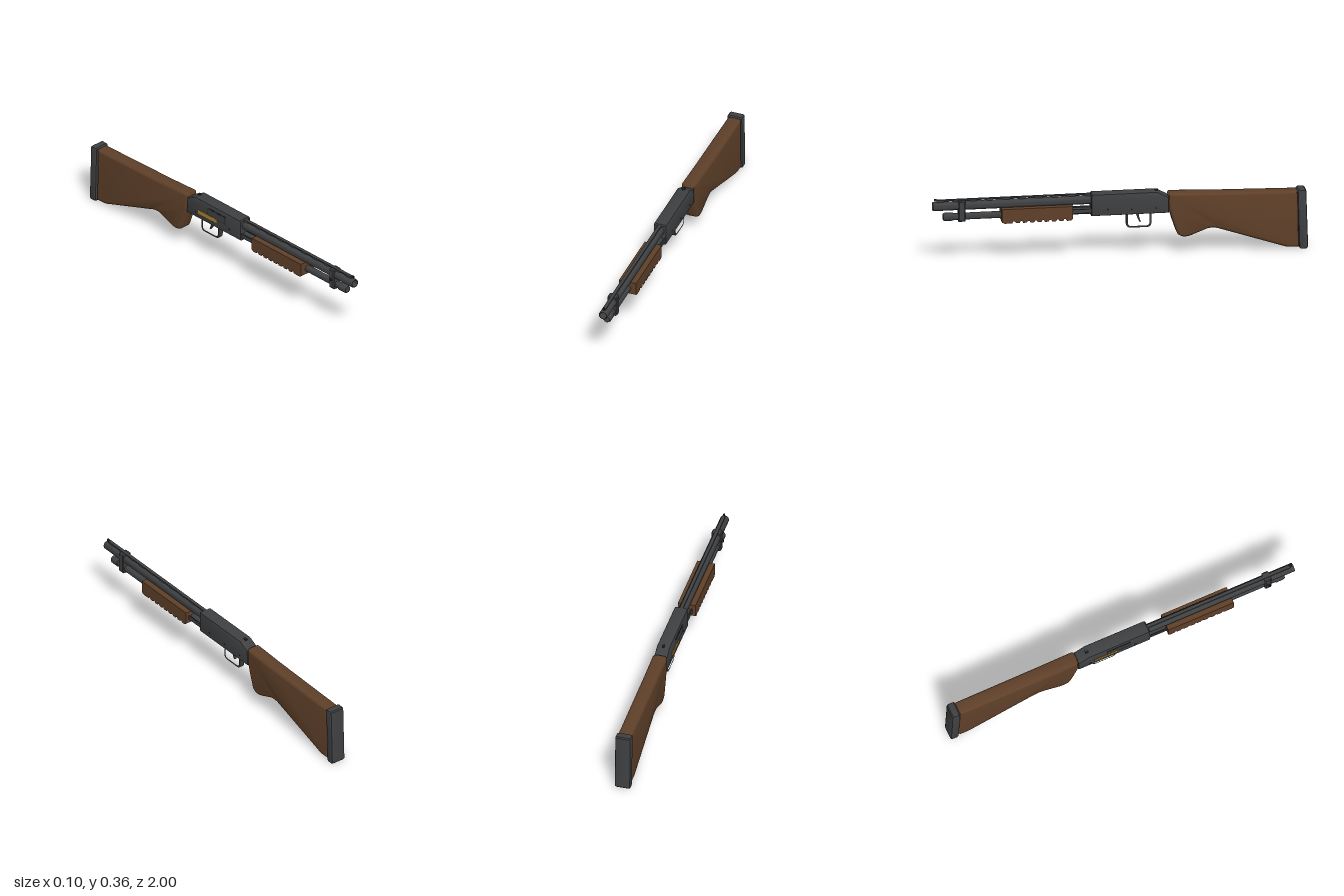
import * as THREE from 'three';
import { toCreasedNormals } from 'three/addons/utils/BufferGeometryUtils.js';

const mat = (name, color) => {
  const m = new THREE.MeshStandardMaterial({ color });
  m.name = name;
  return m;
};

export function createModel() {
  const group = new THREE.Group();
  const metal = mat('gunmetal', 0x3f4042);
  const dark = mat('dark steel', 0x27282a);
  const wood = mat('walnut', 0x5f4029);
  const brass = mat('brass', 0xb0802a);

  const add = (name, geo, material, x = 0, y = 0, z = 0) => {
    const mesh = new THREE.Mesh(geo, material);
    mesh.name = name;
    mesh.position.set(x, y, z);
    group.add(mesh);
    return mesh;
  };

  // Side profile in (z, y), extruded across x and kept inside its outline
  const slab = (shape, width, bevel = 0, segments = 1) => {
    const g = new THREE.ExtrudeGeometry(shape, {
      depth: width - 2 * bevel, bevelEnabled: bevel > 0, bevelThickness: bevel,
      bevelSize: bevel, bevelOffset: -bevel, bevelSegments: segments, curveSegments: 8,
    });
    g.translate(0, 0, -(width / 2 - bevel));
    g.rotateY(-Math.PI / 2);
    return toCreasedNormals(g, 0.6);
  };
  const poly = (pts) => new THREE.Shape(pts.map(([z, y]) => new THREE.Vector2(z, y)));

  // Profile of [radius, z] turned around a line along z
  const turned = (pts) => {
    const g = new THREE.LatheGeometry(pts.map(([r, z]) => new THREE.Vector2(r, z)), 24);
    g.rotateX(Math.PI / 2);
    return toCreasedNormals(g, 0.6);
  };
  const box = (name, m, w, h, d, x, y, z) => add(name, new THREE.BoxGeometry(w, h, d), m, x, y, z);

  // Barrel with open bore
  add('barrel', turned([[0, 0.14], [0.024, 0.14], [0.024, 0.997], [0.022, 1], [0.0195, 1],
    [0.0195, 0.94], [0, 0.94]]), metal, 0, 0.316, 0);

  // Ventilated rib and front sight
  box('rib', metal, 0.018, 0.006, 0.83, 0, 0.348, 0.565);
  for (let i = 0; i < 10; i++) box('ribPost', metal, 0.014, 0.012, 0.035, 0, 0.341, 0.17 + i * 0.0875);
  box('frontSight', dark, 0.008, 0.012, 0.014, 0.001, 0.351, 0.985);

  // Magazine tube and its end cap
  add('magazineTube', turned([[0, 0.14], [0.0185, 0.14], [0.0185, 0.89], [0.022, 0.89], [0.022, 0.935],
    [0.018, 0.944], [0, 0.944]]), metal, 0, 0.256, 0);

  // Clamp joining barrel and tube
  add('barrelClamp', slab(poly([[0.827, 0.232], [0.864, 0.232], [0.864, 0.346], [0.827, 0.346]]), 0.054, 0.005), metal);
  const bolt = add('clampBolt', new THREE.CylinderGeometry(0.007, 0.007, 0.012, 12), dark, -0.031, 0.288, 0.845);
  bolt.rotation.z = Math.PI / 2;

  // Sliding fore-end with finger grooves underneath
  const teeth = 8, z0 = 0.29, pitch = 0.31 / teeth;
  const fore = [[0.635, 0.297], [0.256, 0.297], [0.256, 0.229], [0.268, 0.219]];
  for (let i = 0; i < teeth; i++) {
    const z = z0 + i * pitch;
    fore.push([z, 0.219], [z + 0.005, 0.229], [z + 0.014, 0.229], [z + 0.019, 0.219]);
  }
  fore.push([0.622, 0.218], [0.635, 0.225]);
  add('foreEnd', slab(poly(fore.reverse()), 0.096), wood);
  for (const s of [-1, 1]) box('actionBar', metal, 0.006, 0.022, 0.16, s * 0.028, 0.262, 0.2);

  // Receiver
  add('receiver', slab(poly([[0.157, 0.232], [0.157, 0.346], [0.151, 0.352], [-0.195, 0.352],
    [-0.256, 0.32], [-0.258, 0.232]].reverse()), 0.072, 0.008, 2), metal);
  box('safetyButton', dark, 0.012, 0.008, 0.018, 0, 0.353, -0.195);

  // Ejection port and shell lifter on the right side
  box('ejectionPortRim', dark, 0.004, 0.046, 0.136, -0.0355, 0.305, -0.026);
  box('ejectionPortBolt', metal, 0.004, 0.036, 0.126, -0.0365, 0.305, -0.026);
  box('shellLifter', brass, 0.006, 0.022, 0.14, -0.036, 0.275, -0.096);

  // Receiver pins
  for (const [y, z] of [[0.265, 0.07], [0.262, -0.06], [0.262, -0.19]]) {
    const pin = add('receiverPin', new THREE.CylinderGeometry(0.005, 0.005, 0.075, 10), dark, 0, y, z);
    pin.rotation.z = Math.PI / 2;
  }

  // Trigger guard: a rounded loop with an open middle
  const loop = (S, zf, zb, top, bottom, c) => {
    const s = new S();
    s.moveTo(zf, top);
    s.lineTo(zf, bottom + c);
    s.quadraticCurveTo(zf, bottom, zf - c, bottom);
    s.lineTo(zb + c, bottom);
    s.quadraticCurveTo(zb, bottom, zb, bottom + c);
    s.lineTo(zb, top);
    s.closePath();
    return s;
  };
  const guard = loop(THREE.Shape, -0.032, -0.166, 0.238, 0.153, 0.025);
  guard.holes.push(loop(THREE.Path, -0.041, -0.157, 0.232, 0.162, 0.02));
  add('triggerGuard', slab(guard, 0.027), metal);

  // Curved trigger
  const trig = new THREE.Shape();
  trig.moveTo(-0.086, 0.235);
  trig.quadraticCurveTo(-0.09, 0.198, -0.106, 0.18);
  trig.lineTo(-0.112, 0.183);
  trig.quadraticCurveTo(-0.101, 0.2, -0.1, 0.235);
  add('trigger', slab(trig, 0.012), metal);

  // Shoulder stock with grip
  const stock = new THREE.Shape();
  stock.moveTo(-0.256, 0.33);
  stock.quadraticCurveTo(-0.256, 0.341, -0.27, 0.341);
  stock.lineTo(-0.443, 0.333);
  stock.lineTo(-0.945, 0.321);
  stock.lineTo(-0.95, 0.01);
  stock.lineTo(-0.905, 0.01);
  stock.quadraticCurveTo(-0.88, 0.012, -0.86, 0.02);
  stock.lineTo(-0.53, 0.129);
  stock.quadraticCurveTo(-0.495, 0.142, -0.46, 0.133);
  stock.lineTo(-0.375, 0.1);
  stock.quadraticCurveTo(-0.33, 0.085, -0.305, 0.11);
  stock.quadraticCurveTo(-0.295, 0.125, -0.258, 0.25);
  stock.closePath();
  add('stock', slab(stock, 0.077, 0.016, 4), wood);

  // Butt pad
  add('buttPad', slab(poly([[-0.943, 0.322], [-0.95, 0.328], [-0.984, 0.328], [-0.99, 0.322],
    [-1, 0.008], [-0.992, 0], [-0.96, 0], [-0.952, 0.008]]), 0.086, 0.01, 2), metal);

  return group;
}
